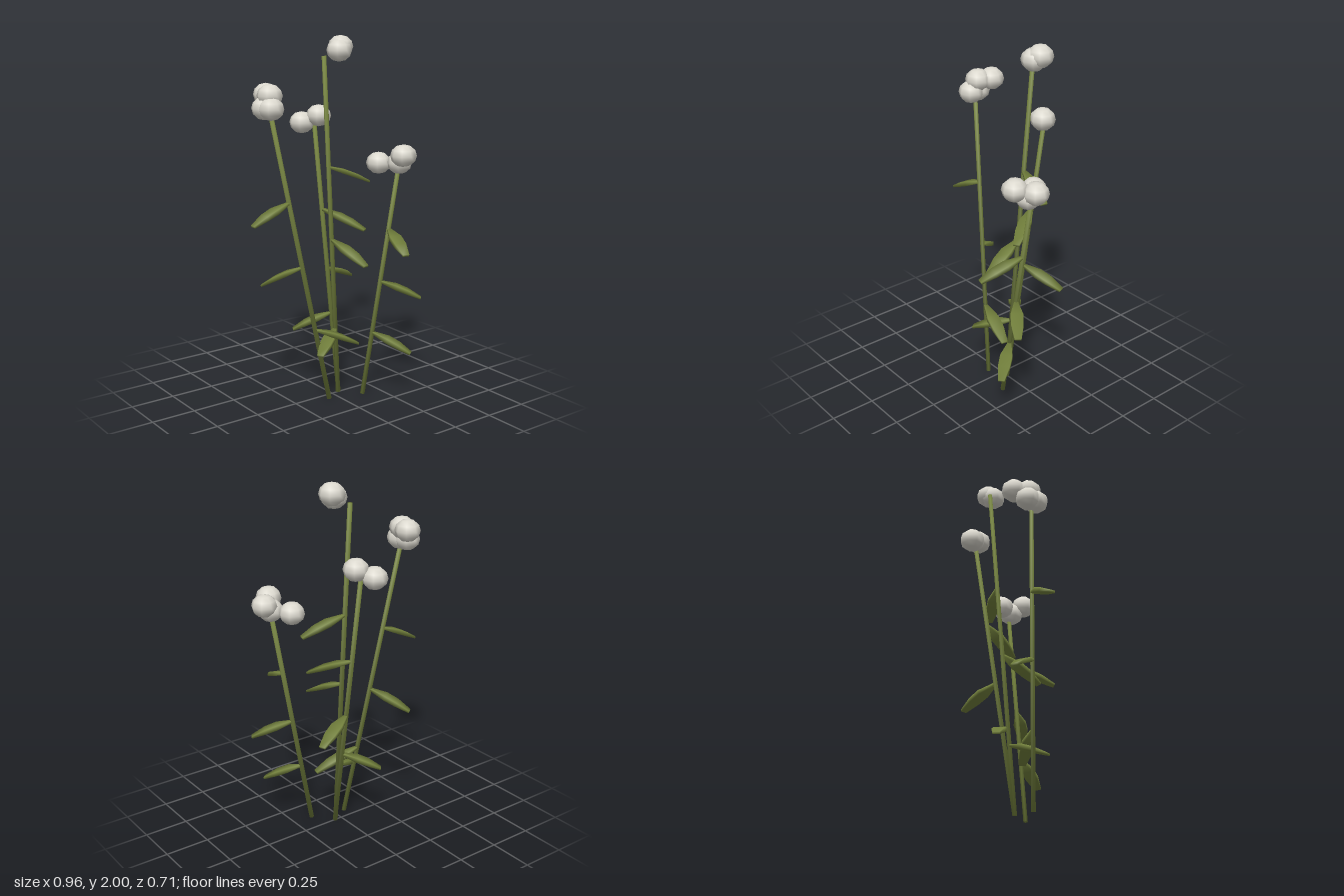
import * as THREE from 'three';

const green = new THREE.MeshStandardMaterial({ color: 0x74823d });
green.name = 'leaf green';
const white = new THREE.MeshStandardMaterial({ color: 0xdcd9cf });
white.name = 'blossom white';

const STEM_R = 0.013;

// Each plant: stem ends, leaves as [attach height, tip x, y, z], blossom centres
const PLANTS = [
  {
    name: 'leaningPlant', base: [-0.06, 0.003, 0.055], top: [-0.335, 1.6, -0.085],
    leaves: [[1.13, -0.48, 1.03, -0.045], [0.77, -0.34, 0.655, -0.19], [0.41, 0.12, 0.3, 0.08]],
    blossoms: [[-0.33, 1.7, -0.1], [-0.305, 1.7, -0.175], [-0.345, 1.635, -0.065], [-0.355, 1.635, -0.115]],
  },
  {
    name: 'tallPlant', base: [0.042, 0.001, 0], top: [0.06, 1.89, -0.155],
    leaves: [[1.285, 0.29, 1.19, -0.045], [0.88, 0.1, 0.77, 0.175], [0.37, -0.15, 0.285, 0.095]],
    blossoms: [[0.15, 1.94, -0.125], [0.125, 1.92, -0.105]],
  },
  {
    name: 'backPlant', base: [0.045, 0.002, 0], top: [0.055, 1.52, -0.242],
    leaves: [[1.04, 0.185, 0.94, 0.055], [0.705, 0.275, 0.61, -0.2], [0.455, -0.135, 0.36, -0.19]],
    blossoms: [[0, 1.52, -0.285], [0.07, 1.56, -0.22]],
  },
  {
    name: 'rightPlant', base: [0.135, 0.002, 0.107], top: [0.372, 1.29, 0.117],
    leaves: [[0.94, 0.24, 0.845, 0.345], [0.645, 0.435, 0.55, 0.25], [0.355, 0.338, 0.25, 0.285]],
    blossoms: [[0.335, 1.36, 0.195], [0.41, 1.345, 0.12], [0.295, 1.305, 0.035], [0.365, 1.31, 0.13]],
  },
];

// Thin tapered rod whose normals lean outward at both ends for soft shading
function makeStem(a, b) {
  const dir = b.clone().sub(a);
  const geo = new THREE.CylinderGeometry(STEM_R, STEM_R, dir.length(), 6);
  const p = geo.attributes.position, n = new THREE.Vector3();
  for (let i = 0; i < p.count; i++) {
    n.set(p.getX(i) / STEM_R, Math.sign(p.getY(i)) * 0.7, p.getZ(i) / STEM_R).normalize();
    geo.attributes.normal.setXYZ(i, n.x, n.y, n.z);
  }
  const mesh = new THREE.Mesh(geo, green);
  mesh.name = 'stem';
  mesh.position.copy(a).lerp(b, 0.5);
  mesh.quaternion.setFromUnitVectors(new THREE.Vector3(0, 1, 0), dir.normalize());
  return mesh;
}

// Blunt leaf: a box with four cross-sections, [along, half width, half thickness, rise]
const SECTIONS = [[0, 0.009, 0.006, 0], [0.38, 0.034, 0.013, 0.006], [0.66, 0.033, 0.012, 0.006], [1, 0.018, 0.006, 0]];
function makeLeaf(a, tip) {
  const length = a.distanceTo(tip);
  const geo = new THREE.BoxGeometry(1, 1, 1, 1, 1, 3);
  const p = geo.attributes.position, n = new THREE.Vector3();
  for (let i = 0; i < p.count; i++) {
    const sx = Math.sign(p.getX(i)), sy = Math.sign(p.getY(i));
    const k = Math.round((p.getZ(i) + 0.5) * 3);
    const [t, w, h, rise] = SECTIONS[k];
    p.setXYZ(i, sx * w, sy * h + rise, t * length);
    n.set(sx * 0.7, sy, [-0.8, -0.1, 0.1, 0.8][k]).normalize();
    geo.attributes.normal.setXYZ(i, n.x, n.y, n.z);
  }
  const mesh = new THREE.Mesh(geo, green);
  mesh.name = 'leaf';
  mesh.position.copy(a);
  mesh.lookAt(tip);
  return mesh;
}

export function createModel() {
  const model = new THREE.Group();
  model.name = 'flowerStems';
  const blossomGeo = new THREE.SphereGeometry(0.07, 8, 6).scale(1, 0.88, 1);

  for (const plant of PLANTS) {
    const group = new THREE.Group();
    group.name = plant.name;
    const base = new THREE.Vector3(...plant.base), top = new THREE.Vector3(...plant.top);
    group.add(makeStem(base, top));

    for (const [y, ...tip] of plant.leaves) {
      const joint = base.clone().lerp(top, (y - base.y) / (top.y - base.y));
      group.add(makeLeaf(joint, new THREE.Vector3(...tip)));
    }
    for (const centre of plant.blossoms) {
      const blossom = new THREE.Mesh(blossomGeo, white);
      blossom.name = 'blossom';
      blossom.position.set(...centre);
      group.add(blossom);
    }
    model.add(group);
  }
  return model;
}
